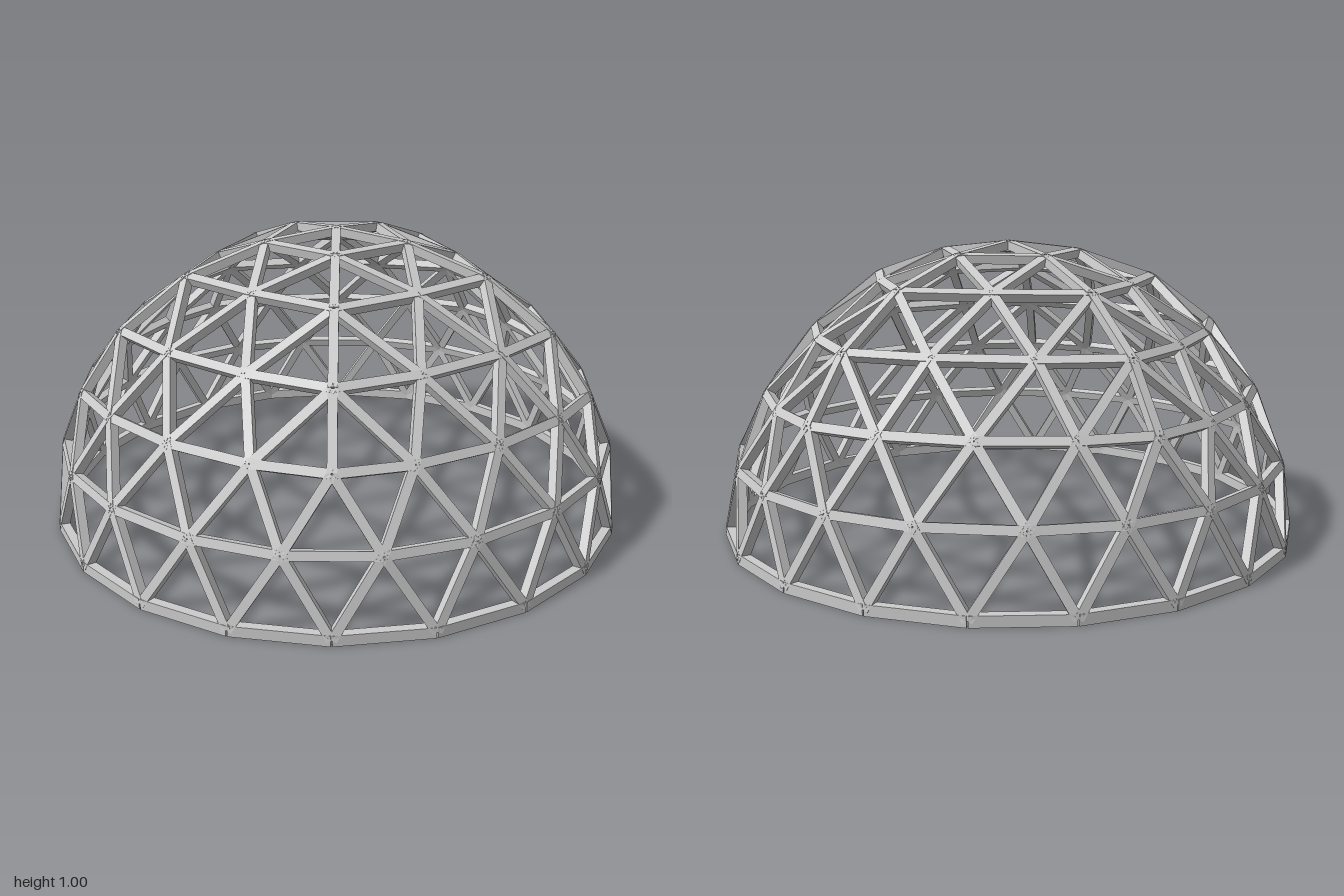
import * as THREE from 'three';

const FREQ = 4;          // subdivisions of each icosahedron edge
const BASE_RING = 6;     // rings from apex (0) down to the equator
const RADIUS = 0.985;    // node radius, leaving room for half a strut
const STRUT = 0.03;
const BASE_HEIGHT = 0.036;

// Subdivided upper half of an icosahedron: nodes on the sphere, then each ring levelled
function buildLattice() {
  const tilt = Math.atan(2);
  const corner = (polar, angle) => new THREE.Vector3(
    Math.sin(polar) * Math.cos(angle), Math.cos(polar), Math.sin(polar) * Math.sin(angle));
  const step = (Math.PI * 2) / 5;
  const top = new THREE.Vector3(0, 1, 0);
  const upper = (k) => corner(tilt, k * step);
  const lower = (k) => corner(Math.PI - tilt, (k + 0.5) * step);

  const nodes = new Map();
  const edges = new Map();

  function addNode(pos, ring) {
    pos.normalize();
    const key = pos.toArray().map((v) => Math.round(v * 1000) + 0).join(',');
    if (!nodes.has(key)) nodes.set(key, { key, pos, ring });
    return nodes.get(key);
  }
  function addEdge(a, b) {
    if (a && b) edges.set([a.key, b.key].sort().join('|'), [a, b]);
  }
  // corners is [a, b, c]; rings gives the ring number of each corner
  function addFace(corners, rings) {
    const at = (i, j) => {
      const w = [i, j, FREQ - i - j];
      const ring = w.reduce((s, v, n) => s + v * rings[n], 0) / FREQ;
      if (ring > BASE_RING) return null;
      const p = new THREE.Vector3();
      w.forEach((v, n) => p.addScaledVector(corners[n], v));
      return addNode(p, ring);
    };
    for (let i = 0; i < FREQ; i++) {
      for (let j = 0; j < FREQ - i; j++) {
        const a = at(i, j), b = at(i + 1, j), c = at(i, j + 1);
        addEdge(a, b);
        addEdge(b, c);
        addEdge(c, a);
      }
    }
  }

  for (let k = 0; k < 5; k++) {
    addFace([top, upper(k), upper(k + 1)], [0, 4, 4]);
    addFace([upper(k), upper(k + 1), lower(k)], [4, 4, 8]);
    addFace([lower(k), lower(k + 1), upper(k + 1)], [8, 8, 4]);
  }

  // Level every ring at its mean height
  for (let ring = 0; ring <= BASE_RING; ring++) {
    const row = [...nodes.values()].filter((n) => n.ring === ring);
    const mean = row.reduce((s, n) => s + n.pos.y, 0) / row.length;
    for (const n of row) {
      n.pos.multiplyScalar(RADIUS);
      n.pos.y = ring === BASE_RING ? BASE_HEIGHT / 2 : 0.01 + 0.978 * mean;
    }
  }
  return [...edges.values()];
}

// Square bar between two nodes, with one face turned outward
function makeStrut(a, b, width, material) {
  const dir = b.clone().sub(a);
  const length = dir.length();
  dir.normalize();
  const mid = a.clone().add(b).multiplyScalar(0.5);
  const out = mid.clone();
  if (width === BASE_HEIGHT) out.y = 0;
  out.addScaledVector(dir, -out.dot(dir)).normalize();
  const side = new THREE.Vector3().crossVectors(dir, out);
  const mesh = new THREE.Mesh(new THREE.BoxGeometry(width, length, STRUT), material);
  mesh.quaternion.setFromRotationMatrix(new THREE.Matrix4().makeBasis(side, dir, out));
  mesh.position.copy(mid);
  return mesh;
}

export function createModel() {
  const model = new THREE.Group();
  model.name = 'geodesicDome';
  const material = new THREE.MeshStandardMaterial({ color: 0xcccccc, flatShading: true });

  // Groups: ground ring, level rings, and the diagonals between rings
  const groups = {};
  for (const name of ['baseRing', 'levelRings', 'diagonalStruts']) {
    groups[name] = new THREE.Group();
    groups[name].name = name;
    model.add(groups[name]);
  }

  for (const [a, b] of buildLattice()) {
    const level = a.ring === b.ring;
    const isBase = level && a.ring === BASE_RING;
    const mesh = makeStrut(a.pos, b.pos, isBase ? BASE_HEIGHT : STRUT, material);
    mesh.name = isBase ? 'baseStrut' : level ? 'ringStrut' : 'diagonalStrut';
    groups[isBase ? 'baseRing' : level ? 'levelRings' : 'diagonalStruts'].add(mesh);
  }
  return model;
}
